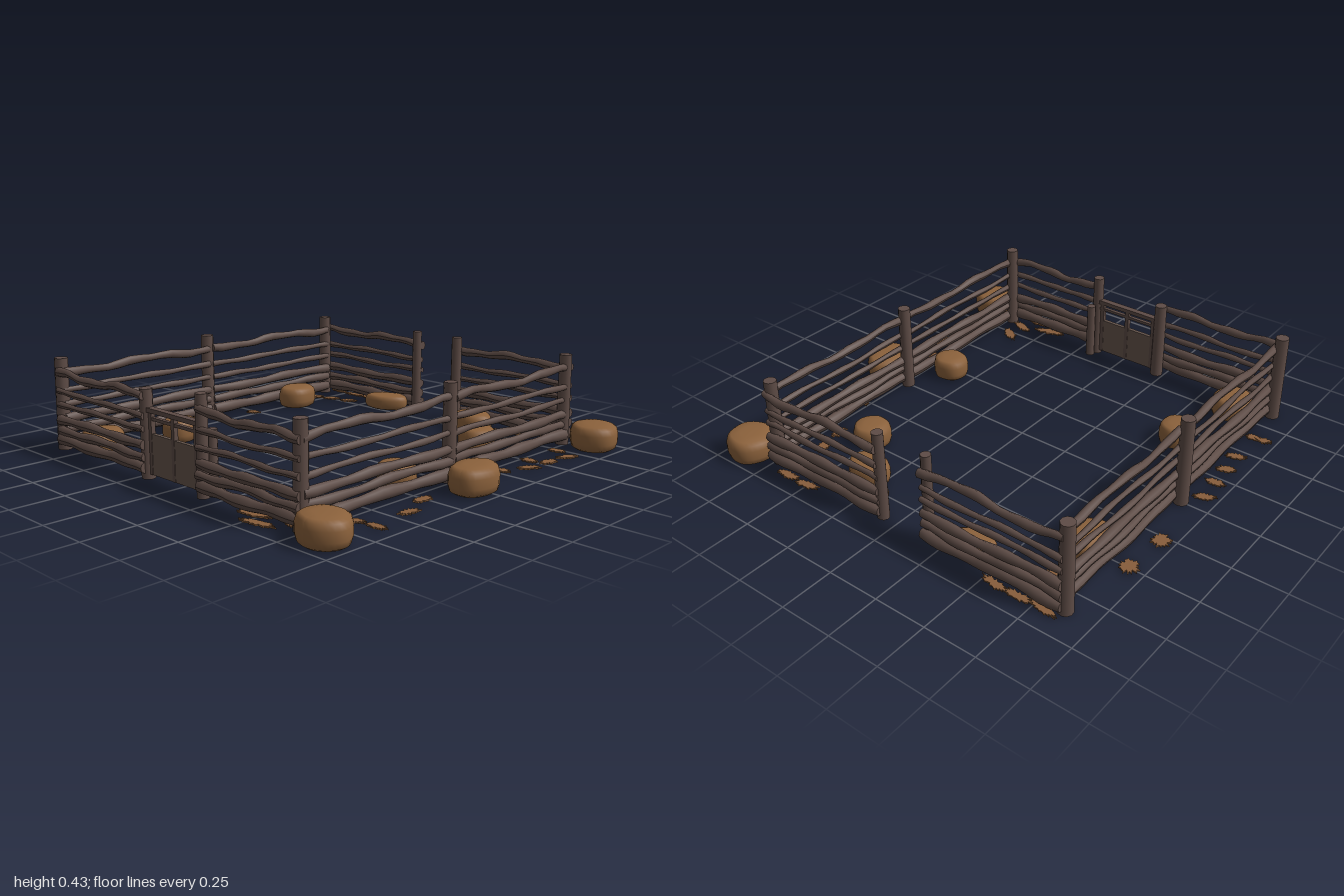
import * as THREE from 'three';

const BASE = 0.017;
let seed = 11;
const rand = () => (seed = (seed * 16807) % 2147483647) / 2147483647;
const vary = (a) => (rand() * 2 - 1) * a;

const mat = (name, color) => {
  const m = new THREE.MeshStandardMaterial({ color });
  m.name = name;
  return m;
};

export function createModel() {
  seed = 11;
  const group = new THREE.Group();
  const wood = mat('weathered wood', 0x5e4c46);
  const gateWood = mat('gate wood', 0x67564d);
  const straw = mat('straw', 0x8c623c);
  const looseStraw = mat('loose straw', 0x875d3b);

  const add = (name, geometry, material, x = 0, y = 0, z = 0) => {
    const mesh = new THREE.Mesh(geometry, material);
    mesh.name = name;
    mesh.position.set(x, y, z);
    group.add(mesh);
    return mesh;
  };

  // Upright round posts
  const post = (name, x, z, r, top = 0.45) => {
    const h = top - BASE;
    add(name, new THREE.CylinderGeometry(r * 0.96, r * 1.04, h, 10), wood, x, BASE + h / 2, z)
      .rotation.y = rand() * 3;
  };
  for (const z of [-0.855, 0, 0.86]) {
    post('leftFencePost', 0.73, z, 0.031);
    post('rightFencePost', -0.868, z, 0.033);
  }
  post('backGatePost', -0.18, -0.856, 0.024);
  post('backGatePost', 0.08, -0.86, 0.027);
  post('frontGatePost', -0.212, 0.86, 0.03, 0.41);
  post('frontGatePost', 0.165, 0.865, 0.027);
  post('gateStop', 0.178, 0.822, 0.022, 0.3);

  // Crooked log rail between two points at one height
  const rail = (x0, z0, x1, z1, y, r, wave) => {
    const len = Math.hypot(x1 - x0, z1 - z0);
    const g = new THREE.CylinderGeometry(r, r, len, 8, 14);
    g.rotateZ(-Math.PI / 2);
    const p = g.attributes.position;
    const a = rand() * 6, b = rand() * 6;
    for (let i = 0; i < p.count; i++) {
      const t = p.getX(i) / len;
      const thick = 1 + 0.14 * Math.sin(t * 17 + a);
      p.setY(i, p.getY(i) * thick + wave * Math.sin(t * 9 + b) + wave * 0.4 * Math.sin(t * 23 + a));
      p.setZ(i, p.getZ(i) * thick * 0.85 + 0.004 * Math.sin(t * 8 + a));
    }
    g.computeVertexNormals();
    add('fenceRail', g, wood, (x0 + x1) / 2, y, (z0 + z1) / 2)
      .rotation.y = -Math.atan2(z1 - z0, x1 - x0);
  };

  // Fence panels, each with six stacked rails: height, radius, waviness
  const levels = [[0.383, 0.02, 0.008], [0.3, 0.015, 0.003], [0.235, 0.015, 0.003],
    [0.163, 0.023, 0.003], [0.116, 0.021, 0.004], [0.065, 0.027, 0.003]];
  const fencePanel = (x0, z0, x1, z1) => {
    for (const [y, r, wave] of levels) rail(x0, z0, x1, z1, y + vary(0.004), r, wave);
  };
  for (const x of [-0.843, 0.742]) {
    fencePanel(x, -0.85, x, -0.01);
    fencePanel(x, 0.01, x, 0.87);
  }
  fencePanel(-0.86, 0.885, -0.2, 0.885);
  fencePanel(0.16, 0.885, 0.75, 0.885);
  fencePanel(-0.87, -0.883, -0.165, -0.883);
  fencePanel(0.075, -0.883, 0.75, -0.883);

  // Gate: planked lower half, open frame above
  const box = (name, w, h, d, x, y, z, m) => add(name, new THREE.BoxGeometry(w, h, d), m, x, y, z);
  for (const x of [-0.104, 0.06]) box('gatePlank', 0.156, 0.18, 0.018, x, 0.13, 0.86, gateWood);
  for (const x of [-0.177, -0.022, 0.128]) box('gateUpright', 0.02, 0.29, 0.022, x, 0.185, 0.86, wood);
  box('gateTopBar', 0.35, 0.02, 0.032, -0.02, 0.322, 0.862, wood);
  box('gateMiddleBar', 0.33, 0.014, 0.018, -0.02, 0.285, 0.86, wood);

  // Rounded straw bales, slightly lumpy
  const profile = [[0, 0], [0.75, 0], [0.93, 0.1], [1, 0.32], [1, 0.66], [0.93, 0.87], [0.78, 0.97], [0.4, 1], [0, 1]]
    .map(([x, y]) => new THREE.Vector2(x, y));
  const bale = (x, z, rx, rz, h = 0.11, turn = 0) => {
    const g = new THREE.LatheGeometry(profile, 28);
    const p = g.attributes.position;
    const a = rand() * 6;
    for (let i = 0; i < p.count; i++) {
      const px = p.getX(i), pz = p.getZ(i), t = Math.atan2(pz, px);
      const k = 1 + 0.03 * Math.sin(2 * t + a) + 0.02 * Math.sin(5 * t + a);
      p.setXYZ(i, px * k * rx, p.getY(i) * h, pz * k * rz);
    }
    g.computeVertexNormals();
    add('strawBale', g, straw, x, BASE, z).rotation.y = turn;
  };
  // Large bales outside the fence
  bale(0.88, -0.89, 0.114, 0.11, 0.122);
  bale(0.888, 0.03, 0.095, 0.128, 0.122, 0.15);
  bale(0.88, 0.89, 0.112, 0.106, 0.122);
  // Smaller bales inside
  bale(-0.735, -0.51, 0.09, 0.102);
  bale(-0.613, 0.385, 0.084, 0.082);
  bale(-0.7, 0.76, 0.098, 0.098);
  bale(0.312, -0.705, 0.098, 0.084);
  bale(0.505, -0.488, 0.084, 0.09);
  bale(0.622, 0.207, 0.086, 0.085);
  bale(0.185, -0.778, 0.042, 0.04, 0.06);
  bale(-0.35, -0.81, 0.12, 0.07, 0.075, 0.4);

  // Ragged patch of loose straw on the ground
  const patch = (x, z, rx, rz, turn) => {
    const n = 30, pts = [];
    for (let i = 0; i < n; i++) {
      const t = (i / n) * Math.PI * 2;
      const k = (i % 2 ? 1.1 : 0.8) + vary(0.18);
      pts.push(new THREE.Vector2(Math.cos(t) * rx * k, Math.sin(t) * rz * k));
    }
    const g = new THREE.ExtrudeGeometry(new THREE.Shape(pts), { depth: 0.007, bevelEnabled: false });
    g.rotateX(-Math.PI / 2);
    add('looseStraw', g, looseStraw, x, BASE + rand() * 0.004, z).rotation.y = turn;
  };
  // Row of patches evenly spaced from one point to another
  const strawRow = (count, x0, z0, x1, z1, rx, rz, turn = 0) => {
    for (let i = 0; i < count; i++) {
      const t = i / (count - 1);
      patch(x0 + (x1 - x0) * t, z0 + (z1 - z0) * t, rx, rz, turn + vary(0.3));
    }
  };
  // Beside the right-hand fence
  strawRow(2, -0.925, -0.5, -0.94, -0.28, 0.04, 0.042);
  strawRow(4, -0.935, 0.09, -0.9, 0.44, 0.045, 0.024, 0.4);
  strawRow(2, -0.94, 0.63, -0.89, 0.63, 0.035, 0.022);
  strawRow(2, -0.77, -0.22, -0.79, 0.18, 0.035, 0.025, 0.7);
  // Along the back
  strawRow(3, -0.8, -0.905, -0.56, -0.905, 0.065, 0.02);
  strawRow(3, -0.79, -0.705, -0.6, -0.77, 0.045, 0.025, 0.3);
  strawRow(2, 0.5, -0.91, 0.62, -0.91, 0.06, 0.022);
  strawRow(2, 0.4, -0.835, 0.5, -0.835, 0.05, 0.018);
  strawRow(3, 0.635, -0.79, 0.685, -0.53, 0.026, 0.045, 0.4);
  // Beside the left-hand fence
  strawRow(3, 0.8, -0.71, 0.795, -0.28, 0.042, 0.026);
  strawRow(3, 0.883, -0.665, 0.86, -0.4, 0.026, 0.05, -0.3);
  strawRow(2, 0.815, 0.27, 0.88, 0.43, 0.025, 0.05);
  strawRow(2, 0.8, 0.65, 0.9, 0.635, 0.045, 0.022, 0.2);
  // Front corner
  strawRow(2, 0.64, 0.72, 0.64, 0.83, 0.065, 0.025, -0.3);
  strawRow(2, 0.48, 0.87, 0.56, 0.925, 0.08, 0.023);

  return group;
}
